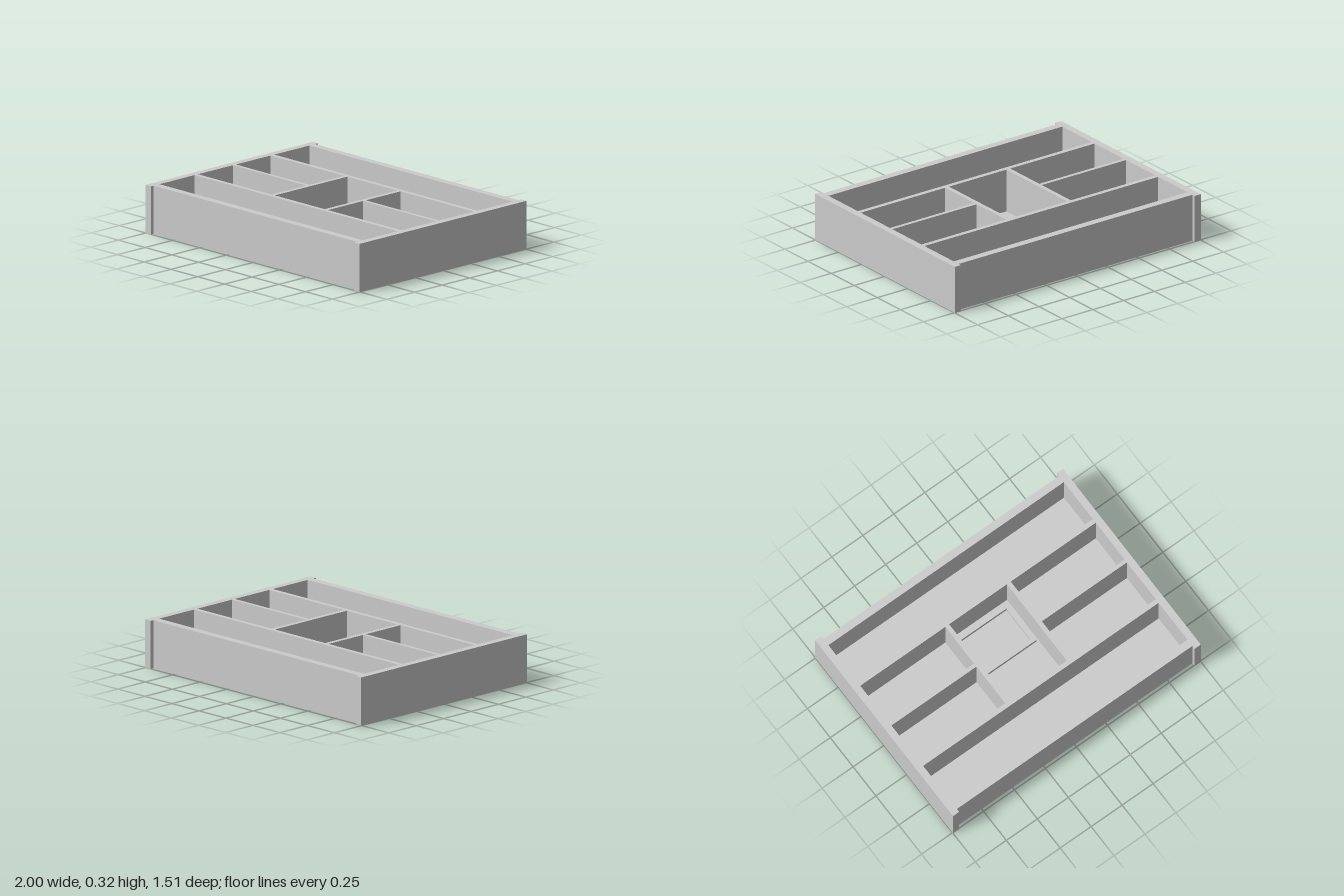
import * as THREE from 'three';

const HEIGHT = 0.325, FLOOR = 0.03;

// Adds a closed rectangle given by its x and z limits (shape y is -z)
function rect(path, x0, x1, z0, z1) {
  path.moveTo(x0, -z1);
  path.lineTo(x1, -z1);
  path.lineTo(x1, -z0);
  path.lineTo(x0, -z0);
  path.closePath();
  return path;
}

// Tray outline: side walls stand proud of the front and back walls
function trayOutline() {
  return new THREE.Shape([
    [-1, -0.755], [-0.95, -0.755], [-0.95, -0.73], [0.95, -0.73], [0.95, -0.755], [1, -0.755],
    [1, 0.755], [0.95, 0.755], [0.95, 0.73], [-0.95, 0.73], [-0.95, 0.755], [-1, 0.755],
  ].map(([x, y]) => new THREE.Vector2(x, y)));
}

export function createModel() {
  const group = new THREE.Group();
  group.name = 'dividedTray';
  const material = new THREE.MeshStandardMaterial({ color: 0xcccccc, flatShading: true });

  // Extrudes a plan shape upward from y0 to y1
  const addSlab = (name, shape, y0, y1) => {
    const geometry = new THREE.ExtrudeGeometry(shape, { depth: y1 - y0, bevelEnabled: false });
    geometry.rotateX(-Math.PI / 2);
    geometry.translate(0, y0, 0);
    const mesh = new THREE.Mesh(geometry, material);
    mesh.name = name;
    group.add(mesh);
  };

  // Floor
  addSlab('floor', trayOutline(), 0, FLOOR);

  // Outer walls and dividers, with one opening per compartment
  const walls = trayOutline();
  const compartments = [
    [-0.95, 0.95, -0.677, -0.36],     // long back
    [-0.95, 0.95, 0.36, 0.677],       // long front
    [-0.233, 0.233, -0.328, 0.328],   // centre
  ];
  for (const [x0, x1] of [[-0.95, -0.264], [0.264, 0.95]]) {
    compartments.push([x0, x1, -0.328, -0.013], [x0, x1, 0.013, 0.328]);
  }
  for (const c of compartments) walls.holes.push(rect(new THREE.Path(), ...c));
  addSlab('wallsAndDividers', walls, FLOOR, HEIGHT);

  // Low rectangular rim on the floor of the centre compartment
  const rim = rect(new THREE.Shape(), -0.217, 0.217, -0.303, 0.018);
  rim.holes.push(rect(new THREE.Path(), -0.187, 0.187, -0.272, -0.011));
  addSlab('centreRim', rim, FLOOR, 0.06);

  return group;
}
